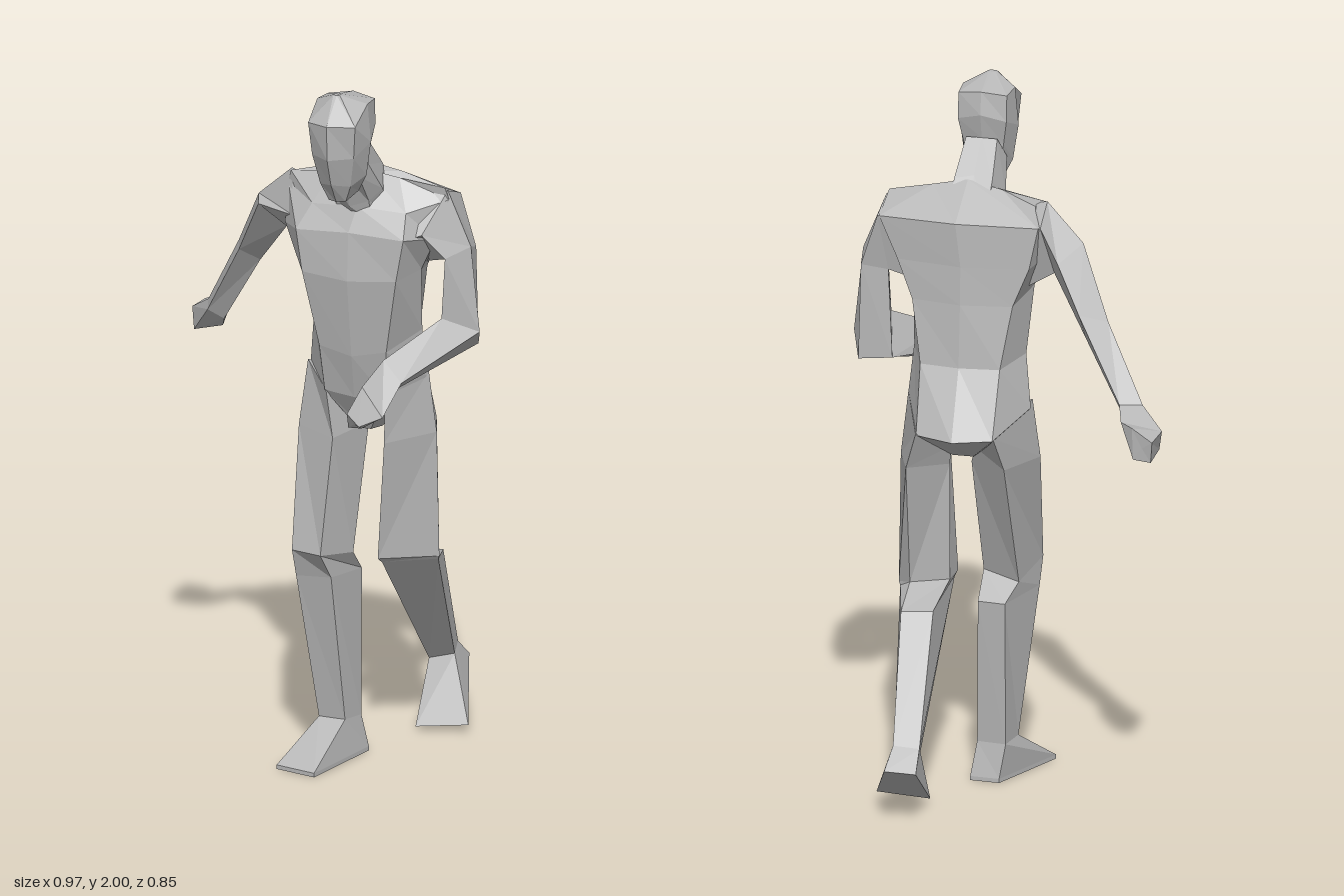
import * as THREE from 'three';

const skin = new THREE.MeshStandardMaterial({ color: 0xb8b8b8, flatShading: true });
skin.name = 'plain grey';

// Joins loops of corners into a closed faceted body, with both ends capped.
function loft(name, rings) {
  const loops = rings.map(r => r.map(p => new THREE.Vector3(...p)));
  const n = loops[0].length, tris = [];
  for (let i = 0; i < loops.length - 1; i++) {
    for (let j = 0; j < n; j++) {
      const k = (j + 1) % n;
      const a = loops[i][j], b = loops[i][k], c = loops[i + 1][k], d = loops[i + 1][j];
      tris.push([a, b, c], [a, c, d]);
    }
  }
  const cap = (loop, flip) => {
    const mid = loop.reduce((s, p) => s.add(p), new THREE.Vector3()).divideScalar(n);
    loop.forEach((p, j) => {
      const q = loop[(j + 1) % n];
      tris.push(flip ? [mid, q, p] : [mid, p, q]);
    });
  };
  cap(loops[0], true);
  cap(loops[loops.length - 1], false);
  // A negative volume means the loops run the other way round
  const volume = tris.reduce((s, [a, b, c]) => s + a.dot(b.clone().cross(c)), 0);
  if (volume < 0) tris.forEach(t => t.reverse());
  const geometry = new THREE.BufferGeometry().setFromPoints(tris.flat());
  geometry.computeVertexNormals();
  const mesh = new THREE.Mesh(geometry, skin);
  mesh.name = name;
  return mesh;
}

// Mirrored eight-sided loop: front, side and back each give half width, y, z.
function section(cx, front, side, back, midFront = front, midBack = back) {
  const [fw, fy, fz] = front, [sw, sy, sz] = side, [bw, by, bz] = back;
  return [
    [cx, midFront[1], midFront[2]], [cx + fw, fy, fz], [cx + sw, sy, sz], [cx + bw, by, bz],
    [cx, midBack[1], midBack[2]], [cx - bw, by, bz], [cx - sw, sy, sz], [cx - fw, fy, fz],
  ];
}

export function createModel() {
  const figure = new THREE.Group();
  figure.name = 'walkingFigure';

  // Head, leaning forward
  figure.add(loft('head', [
    section(0.14, [0.01, 2, 0.305], [0.012, 2, 0.3], [0.01, 2, 0.29]),
    section(0.14, [0.07, 1.925, 0.345], [0.075, 1.97, 0.26], [0.07, 1.965, 0.19], [0, 1.93, 0.385], [0, 1.975, 0.175]),
    section(0.14, [0.062, 1.83, 0.335], [0.085, 1.86, 0.26], [0.07, 1.89, 0.185], [0, 1.83, 0.38], [0, 1.91, 0.165]),
    section(0.14, [0.045, 1.74, 0.315], [0.07, 1.76, 0.255], [0.058, 1.82, 0.2], [0, 1.75, 0.35], [0, 1.84, 0.18]),
    section(0.14, [0.025, 1.69, 0.3], [0.045, 1.71, 0.25], [0.05, 1.78, 0.2], [0, 1.69, 0.31]),
  ]));

  // Neck, running down into the chest
  figure.add(loft('neck', [
    section(0.14, [0.045, 1.75, 0.25], [0.062, 1.78, 0.22], [0.045, 1.84, 0.18]),
    section(0.14, [0.05, 1.66, 0.185], [0.078, 1.69, 0.15], [0.055, 1.745, 0.09], [0, 1.645, 0.205], [0, 1.755, 0.1]),
    section(0.14, [0.05, 1.59, 0.16], [0.078, 1.62, 0.1], [0.055, 1.67, 0.03]),
  ]));

  // Trunk, from the shoulders down to the crotch
  figure.add(loft('torso', [
    section(0.155, [0.1, 1.715, 0.115], [0.23, 1.695, 0.1], [0.1, 1.725, 0.085], [0, 1.73, 0.115], [0, 1.745, 0.09]),
    section(0.155, [0.14, 1.63, 0.17], [0.24, 1.66, 0.095], [0.23, 1.65, -0.01], [0, 1.64, 0.185], [0, 1.655, -0.045]),
    section(0.14, [0.16, 1.56, 0.205], [0.225, 1.55, 0.12], [0.19, 1.53, -0.015], [0, 1.57, 0.215], [0, 1.53, -0.045]),
    section(0.14, [0.14, 1.44, 0.21], [0.175, 1.45, 0.1], [0.145, 1.42, -0.025], [0, 1.43, 0.225], [0, 1.42, -0.05]),
    section(0.14, [0.1, 1.22, 0.18], [0.162, 1.26, 0.06], [0.115, 1.24, -0.05], [0, 1.2, 0.19], [0, 1.24, -0.065]),
    section(0.135, [0.09, 1.08, 0.15], [0.178, 1.11, 0.03], [0.11, 1.055, -0.13], [0, 1.07, 0.155], [0, 1.05, -0.16]),
    section(0.14, [0.02, 0.96, 0.09], [0.04, 0.96, 0.05], [0.03, 0.97, -0.02]),
  ]));

  // Right arm, swung out and back
  const rightWrist = [[-0.415, 1.205, -0.145], [-0.355, 1.21, -0.175], [-0.37, 1.15, -0.15], [-0.41, 1.18, -0.125]];
  figure.add(loft('rightArm', [
    [[-0.04, 1.69, 0.1], [-0.06, 1.64, 0], [0.01, 1.44, 0.05], [0, 1.55, 0.17]],
    [[-0.075, 1.7, 0.09], [-0.08, 1.65, -0.005], [-0.03, 1.46, 0.05], [-0.05, 1.58, 0.15]],
    [[-0.19, 1.6, 0.05], [-0.14, 1.56, -0.04], [-0.11, 1.51, 0.035], [-0.178, 1.58, 0.085]],
    [[-0.295, 1.415, -0.07], [-0.22, 1.44, -0.11], [-0.235, 1.36, -0.08], [-0.28, 1.4, -0.03]],
    rightWrist,
  ]));
  figure.add(loft('rightHand', [
    rightWrist,
    [[-0.488, 1.155, -0.21], [-0.38, 1.185, -0.25], [-0.385, 1.12, -0.18], [-0.475, 1.095, -0.19]],
    [[-0.485, 1.15, -0.305], [-0.42, 1.18, -0.28], [-0.425, 1.09, -0.285], [-0.48, 1.09, -0.3]],
  ]));

  // Left arm, bent across the front
  const leftWrist = [[0.335, 1.18, 0.31], [0.305, 1.15, 0.3], [0.265, 1.18, 0.28], [0.28, 1.24, 0.305]];
  figure.add(loft('leftArm', [
    [[0.35, 1.68, 0.1], [0.36, 1.64, 0], [0.28, 1.44, 0.05], [0.29, 1.55, 0.18]],
    [[0.39, 1.685, 0.09], [0.39, 1.65, -0.01], [0.32, 1.46, 0.05], [0.34, 1.57, 0.165]],
    [[0.455, 1.525, 0.08], [0.44, 1.5, 0], [0.37, 1.48, 0.035], [0.4, 1.5, 0.14]],
    [[0.483, 1.28, 0.085], [0.45, 1.22, 0.008], [0.36, 1.22, 0.04], [0.39, 1.325, 0.14]],
    leftWrist,
  ]));
  figure.add(loft('leftHand', [
    leftWrist,
    [[0.31, 1.1, 0.393], [0.29, 1.085, 0.335], [0.212, 1.09, 0.333], [0.25, 1.185, 0.395]],
    [[0.25, 1.075, 0.42], [0.25, 1.065, 0.4], [0.207, 1.06, 0.39], [0.215, 1.11, 0.422]],
  ]));

  // Right leg, carrying the weight; corners run outer front, inner front, inner back, outer back
  const rightAnkle = [[0.02, 0.115, 0.13], [0.1, 0.115, 0.135], [0.12, 0.11, 0.06], [0.035, 0.11, 0.05]];
  figure.add(loft('rightLeg', [
    [[-0.043, 1.13, 0.05], [0.05, 1.08, 0.153], [0.1, 1.0, -0.03], [0.028, 1.06, -0.115]],
    [[-0.055, 0.95, 0.09], [0.08, 0.95, 0.18], [0.12, 0.95, 0], [0.01, 0.95, -0.06]],
    [[-0.03, 0.62, 0.21], [0.07, 0.625, 0.25], [0.115, 0.6, 0.11], [0.005, 0.58, 0.08]],
    [[-0.025, 0.54, 0.19], [0.085, 0.55, 0.205], [0.11, 0.53, 0.03], [0.03, 0.53, 0.022]],
    rightAnkle,
  ]));
  figure.add(loft('rightFoot', [
    rightAnkle,
    [[-0.045, 0.012, 0.29], [0.08, 0.012, 0.325], [0.135, 0.012, 0.04], [0.05, 0.012, 0.035]],
    [[-0.045, 0, 0.29], [0.08, 0, 0.325], [0.135, 0, 0.04], [0.05, 0, 0.035]],
  ]));

  // Left leg, trailing with the knee bent
  const leftAnkle = [[0.265, 0.2, -0.29], [0.19, 0.18, -0.285], [0.175, 0.21, -0.35], [0.25, 0.215, -0.355]];
  figure.add(loft('leftLeg', [
    [[0.312, 1.13, 0.035], [0.225, 1.08, 0.15], [0.17, 1.0, -0.03], [0.245, 1.06, -0.135]],
    [[0.33, 0.95, 0.02], [0.22, 0.94, 0.145], [0.18, 0.94, -0.01], [0.28, 0.95, -0.11]],
    [[0.33, 0.58, 0], [0.19, 0.59, 0.115], [0.185, 0.595, 0.01], [0.29, 0.59, -0.03]],
    [[0.325, 0.57, -0.005], [0.195, 0.575, 0.095], [0.19, 0.55, -0.15], [0.28, 0.545, -0.162]],
    leftAnkle,
  ]));
  figure.add(loft('leftFoot', [
    leftAnkle,
    [[0.34, 0.025, -0.2], [0.19, 0.01, -0.18], [0.168, 0.155, -0.415], [0.257, 0.16, -0.425]],
  ]));

  return figure;
}
